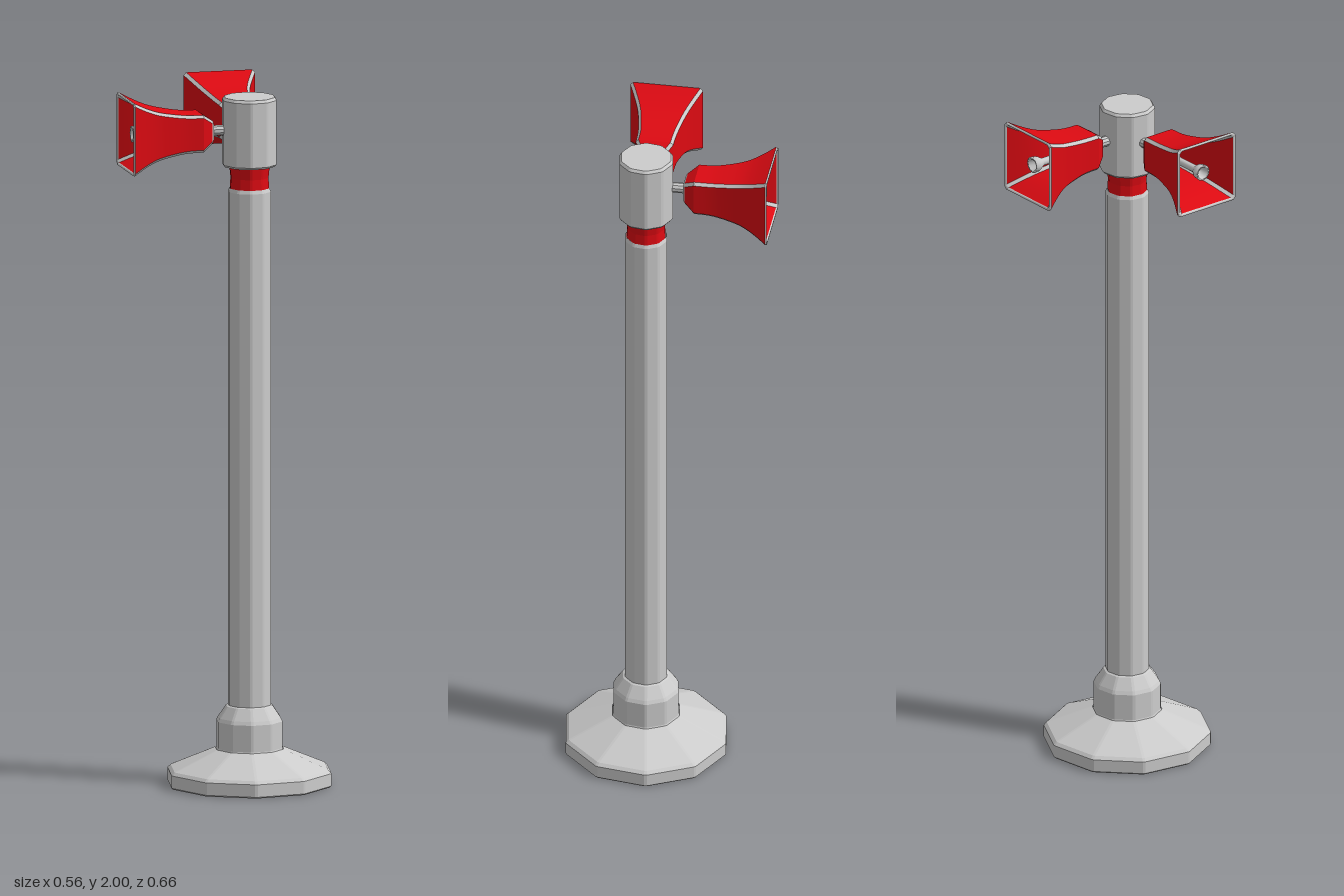
import * as THREE from 'three';
import { mergeGeometries } from 'three/addons/utils/BufferGeometryUtils.js';

const grey = new THREE.MeshStandardMaterial({ color: 0xcccccc });
const greyFlat = new THREE.MeshStandardMaterial({ color: 0xcccccc, flatShading: true });
const red = new THREE.MeshStandardMaterial({ color: 0xdd0a12 });
const redFlat = new THREE.MeshStandardMaterial({ color: 0xdd0a12, flatShading: true });
const tube = new THREE.MeshStandardMaterial({ color: 0xcccccc, side: THREE.DoubleSide });

// Regular polygon at height y with every corner cut by c: 2n points
function section(n, r, c, y, turn = 0) {
  const corner = k => {
    const a = turn + (k * 2 * Math.PI) / n;
    return new THREE.Vector3(Math.sin(a) * r, y, Math.cos(a) * r);
  };
  const pts = [];
  for (let k = 0; k < n; k++) {
    for (const side of [-1, 1]) {
      const p = corner(k);
      pts.push(p.add(corner(k + side).sub(p).normalize().multiplyScalar(r ? c : 0)));
    }
  }
  return pts;
}

// Strips between sections; returns [corner strips, face strips], creased between strips
function loft(rings) {
  const sets = [[], []];
  const count = rings[0].length;
  for (let i = 0; i < count; i++) {
    const pts = rings.flatMap(r => [r[i], r[(i + 1) % count]]);
    const index = [];
    for (let j = 0; j < rings.length - 1; j++) {
      const a = 2 * j;
      index.push(a, a + 1, a + 3, a, a + 3, a + 2);
    }
    const g = new THREE.BufferGeometry().setFromPoints(pts);
    g.setIndex(index);
    g.computeVertexNormals();
    sets[i % 2].push(g);
  }
  return sets.map(s => mergeGeometries(s));
}

function add(parent, name, geometry, material) {
  const mesh = new THREE.Mesh(geometry, material);
  mesh.name = name;
  parent.add(mesh);
  return mesh;
}

// Ten-sided turned part from [radius, height] pairs
function turned(parent, name, profile, material) {
  const rings = profile.map(([r, y]) => section(10, r, 0.004, y));
  add(parent, name, mergeGeometries(loft(rings)), material);
}

// Square horn part from [half width, distance] pairs
function hornPart(parent, name, profile, faceMat, edgeMat) {
  const rings = profile.map(([h, s]) => section(4, h * Math.SQRT2, 0.008, s, Math.PI / 4));
  const [edges, faces] = loft(rings);
  add(parent, name + 'Faces', faces, faceMat);
  add(parent, name + 'Edges', edges, edgeMat);
}

function horn(name) {
  const g = new THREE.Group();
  g.name = name;
  const curve = new THREE.SplineCurve([
    [0.054, 0.146], [0.055, 0.19], [0.06, 0.23], [0.07, 0.28], [0.085, 0.32], [0.105, 0.36],
  ].map(p => new THREE.Vector2(...p)));
  const flare = curve.getPoints(15).map(p => [p.x, p.y]);
  const wall = 0.008;
  const inside = flare.map(([h, s]) => [h - wall, s]).reverse();

  // Closed back, bevelled shoulder, flared bell, rim and hollow inside
  hornPart(g, 'hornBack', [[0, 0.112], [0.03, 0.112]], red, red);
  hornPart(g, 'hornBackRim', [[0.03, 0.112], [0.034, 0.116]], grey, grey);
  hornPart(g, 'hornShoulder', [[0.034, 0.116], [0.054, 0.146]], red, grey);
  hornPart(g, 'hornBell', flare, red, grey);
  hornPart(g, 'hornRim', [[0.105, 0.36], [0.104, 0.364], [0.099, 0.364], [0.097, 0.36]], grey, grey);
  hornPart(g, 'hornInside', inside, red, grey);
  hornPart(g, 'hornInsideBack', [[0.046, 0.146], [0, 0.146]], red, red);

  // Bracket to the pole head
  const bracket = add(g, 'hornBracket', new THREE.CylinderGeometry(0.015, 0.015, 0.06, 10), greyFlat);
  bracket.position.y = 0.09;

  // Inner sound tube with an open, widened end
  const profile = [[0.011, 0.145], [0.011, 0.31], [0.022, 0.328], [0.024, 0.345],
    [0.017, 0.345], [0.015, 0.328], [0, 0.32]];
  add(g, 'soundTube', new THREE.LatheGeometry(profile.map(p => new THREE.Vector2(...p)), 12), tube);
  return g;
}

export function createModel() {
  const model = new THREE.Group();
  model.name = 'loudspeakerPole';

  const post = new THREE.Group();
  post.name = 'post';
  post.position.x = 0.052;
  model.add(post);

  // Foot, collar, pole, painted band and head
  turned(post, 'foot', [[0, 0], [0.236, 0], [0.24, 0.004], [0.24, 0.04], [0.231, 0.049],
    [0.1, 0.105]], greyFlat);
  turned(post, 'collar', [[0.1, 0.1], [0.097, 0.108], [0.097, 0.185], [0.092, 0.195],
    [0.069, 0.228], [0.063, 0.231]], greyFlat);
  turned(post, 'pole', [[0.063, 0.22], [0.063, 1.715], [0.059, 1.725]], greyFlat);
  turned(post, 'band', [[0.058, 1.724], [0.056, 1.755], [0.06, 1.792]], redFlat);
  turned(post, 'head', [[0.055, 1.788], [0.075, 1.788], [0.08, 1.794], [0.08, 1.98],
    [0.074, 1.988], [0, 1.988]], greyFlat);

  // Two horns, aimed diagonally to the front and back
  for (const [name, angle] of [['frontHorn', -Math.PI / 4], ['backHorn', -3 * Math.PI / 4]]) {
    const h = horn(name);
    h.rotation.set(Math.PI / 2, angle, 0, 'YXZ');
    h.position.y = 1.894;
    post.add(h);
  }
  return model;
}
